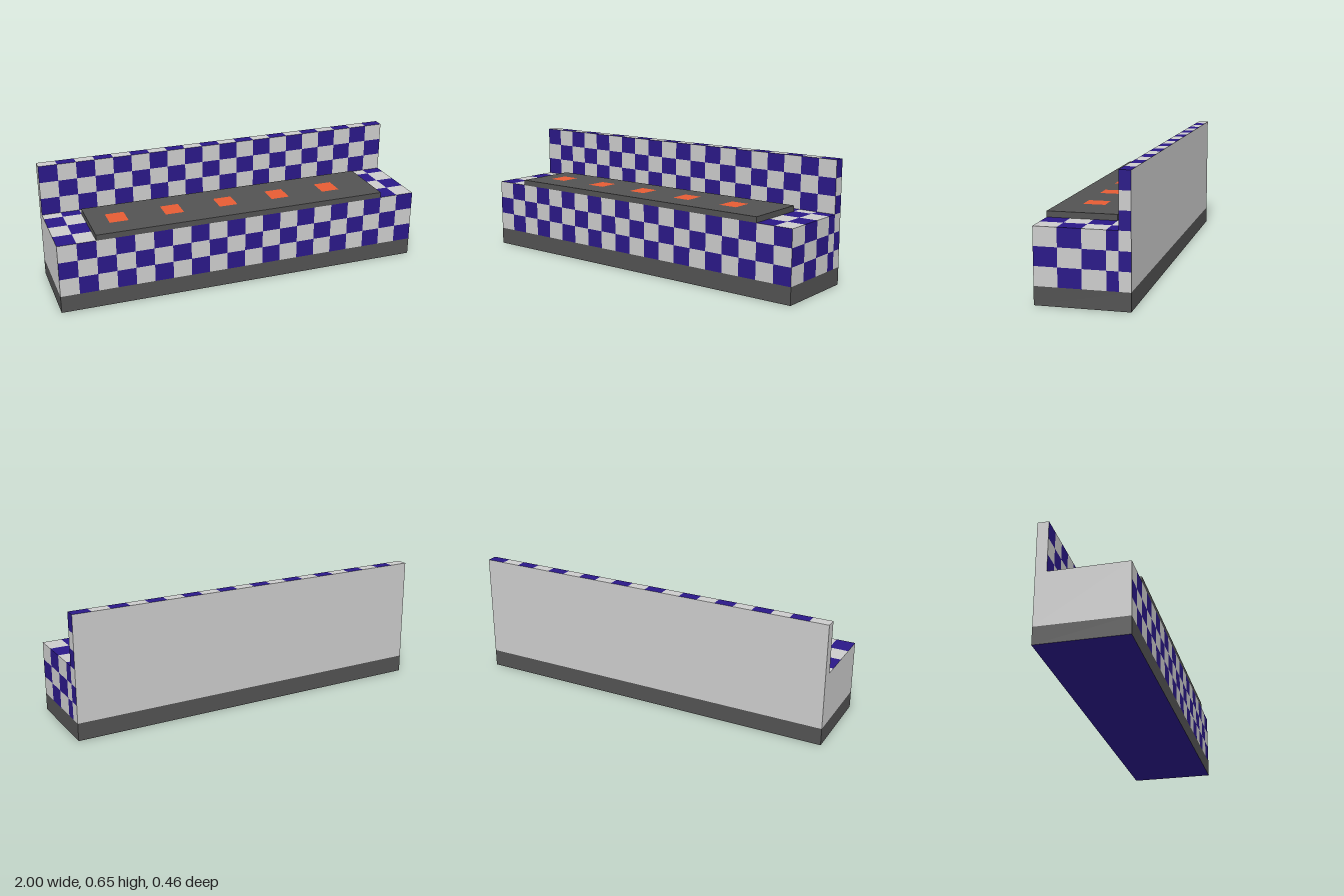
import * as THREE from 'three';

const paint = (color) => new THREE.MeshStandardMaterial({ color });
const grey = paint(0xcccccc), blue = paint(0x2a1887), dark = paint(0x525252), orange = paint(0xe65c34);

// Key levels: x columns, tile rows in y, tile columns in z (front to back)
const xs = Array.from({ length: 21 }, (_, i) => -1 + i * 0.1);
const ys = [0.092, 0.187, 0.281, 0.375, 0.467, 0.558, 0.65];
const zs = [0.232, 0.116, 0, -0.116, -0.174, -0.232];

// Flat-faced mesh from rectangles [u0, v0, u1, v1]; place maps (u, v) to a point,
// with u to the right and v up as seen from outside
function faces(name, rects, place, material) {
  const points = rects.flatMap(([u0, v0, u1, v1]) =>
    [[u0, v0], [u1, v0], [u1, v1], [u0, v0], [u1, v1], [u0, v1]].flatMap(([u, v]) => place(u, v)));
  const geometry = new THREE.BufferGeometry();
  geometry.setAttribute('position', new THREE.Float32BufferAttribute(points, 3));
  geometry.computeVertexNormals();
  const mesh = new THREE.Mesh(geometry, material);
  mesh.name = name;
  return mesh;
}

// Checkered panel: tiles between the u and v lines; parity tells which colour starts
function checker(name, us, vs, parity, place) {
  const tiles = [[], []];
  for (let i = 0; i + 1 < us.length; i++)
    for (let j = 0; j + 1 < vs.length; j++)
      tiles[(i + j + parity) % 2].push([us[i], vs[j], us[i + 1], vs[j + 1]]);
  const panel = new THREE.Group();
  panel.name = name;
  panel.add(faces(name + 'GreyTiles', tiles[0], place, grey));
  panel.add(faces(name + 'BlueTiles', tiles[1], place, blue));
  return panel;
}

function box(name, w, h, d, x, y, z, material) {
  const mesh = new THREE.Mesh(new THREE.BoxGeometry(w, h, d), material);
  mesh.position.set(x, y, z);
  mesh.name = name;
  return mesh;
}

export function createModel() {
  const model = new THREE.Group();
  model.name = 'tiledCounter';

  // Dark plinth with a blue underside
  model.add(box('plinth', 2, 0.092, 0.464, 0, 0.046, 0, [dark, dark, dark, blue, dark, dark]));

  // Counter front and splashback front
  model.add(checker('counterFront', xs, ys.slice(0, 4), 0, (u, v) => [u, v, 0.232]));
  model.add(checker('splashbackFront', xs, ys.slice(3), 1, (u, v) => [u, v, -0.174]));

  // Counter top and splashback top, running from front to back
  model.add(checker('counterTop', xs, zs.slice(0, 5), 1, (u, v) => [u, 0.375, v]));
  model.add(checker('splashbackTop', xs, zs.slice(4), 0, (u, v) => [u, 0.65, v]));

  // Tiled end on +x, an L-shaped outline
  model.add(checker('counterEnd', zs, ys.slice(0, 4), 0, (u, v) => [1, v, u]));
  model.add(checker('splashbackEnd', zs.slice(4), ys.slice(3), 1, (u, v) => [1, v, u]));

  // Plain end on -x and plain back
  model.add(faces('plainEnd', [[-0.232, 0.092, 0.232, 0.375], [-0.232, 0.375, -0.174, 0.65]],
    (u, v) => [-1, v, u], grey));
  model.add(faces('plainBack', [[-1, 0.092, 1, 0.65]], (u, v) => [-u, v, -0.232], grey));

  // Dark slab on the counter with five orange squares
  model.add(box('slab', 1.6, 0.03, 0.348, 0, 0.39, 0.058, dark));
  const squares = [-0.7, -0.4, -0.1, 0.2, 0.5].map((x) => [x, 0.112, x + 0.1, 0]);
  model.add(faces('hotSquares', squares, (u, v) => [u, 0.406, v], orange));

  return model;
}
